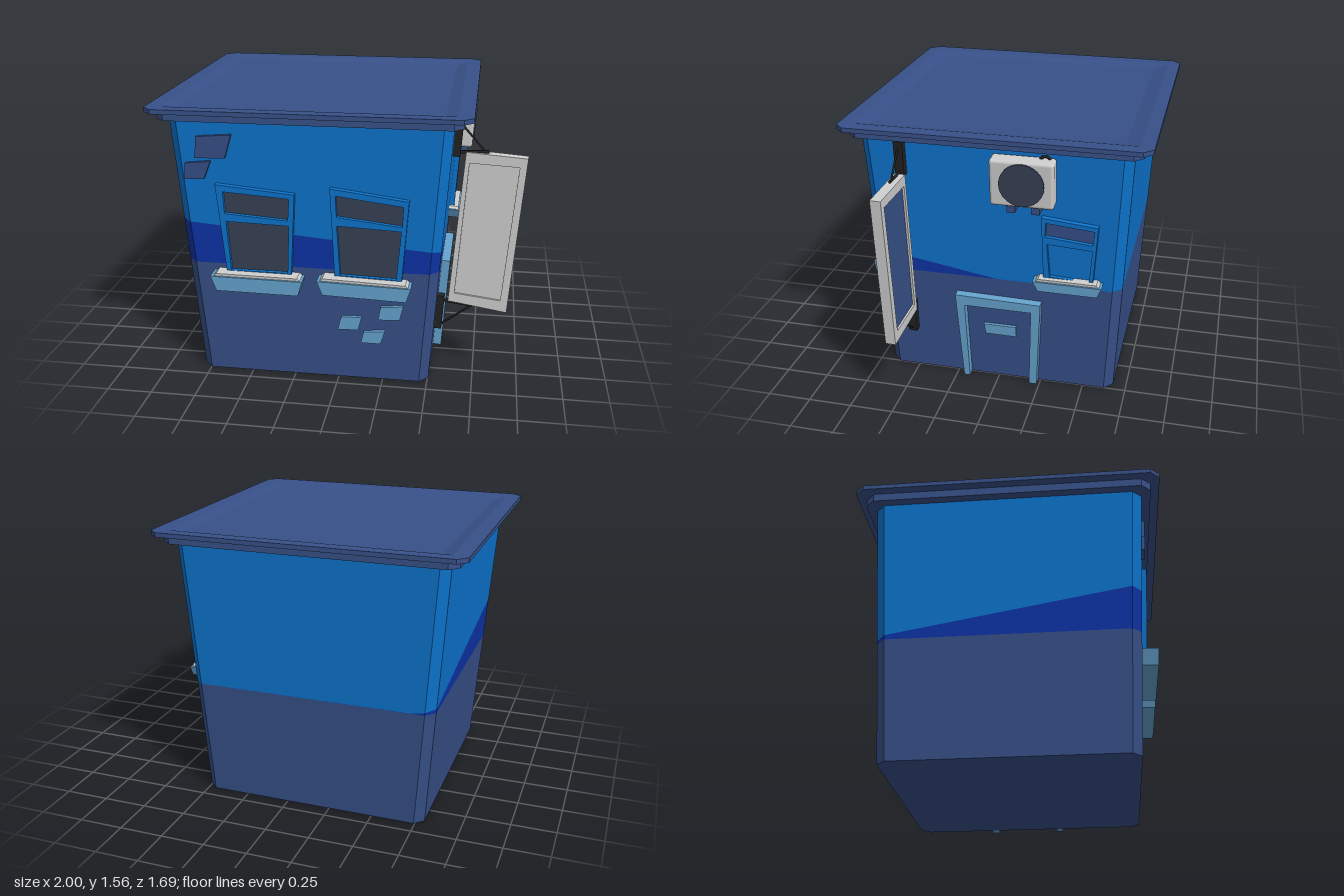
import * as THREE from 'three';
import { RoundedBoxGeometry } from 'three/addons/geometries/RoundedBoxGeometry.js';

const paint = (name, color) => {
  const m = new THREE.MeshStandardMaterial({ color });
  m.name = name;
  return m;
};

const CX = -0.145, TOP = 1.49;       // house centre in x, wall height
const LEAN_X = 0.105, LEAN_Z = 0.07; // how far the walls flare outwards

// Triangles from quads, flat shaded
function quadGeometry(quads) {
  const pos = [];
  for (const [a, b, c, d] of quads) for (const p of [a, b, c, a, c, d]) pos.push(...p);
  const g = new THREE.BufferGeometry();
  g.setAttribute('position', new THREE.Float32BufferAttribute(pos, 3));
  g.computeVertexNormals();
  return g;
}

// Rectangle with cut corners, anticlockwise from above
const ring = (hx, hz, c, y) => [
  [-hx, hz - c], [-hx + c, hz], [hx - c, hz], [hx, hz - c],
  [hx, -hz + c], [hx - c, -hz], [-hx + c, -hz], [-hx, -hz + c],
].map(([x, z]) => [CX + x, y, z]);

const fan = (r, up) => r.map((p, i) => {
  const q = r[(i + 1) % r.length], o = [CX, p[1], 0];
  return up ? [p, q, o, o] : [q, p, o, o];
});

const join = (lo, hi) => lo.map((p, i) => {
  const j = (i + 1) % lo.length;
  return [p, lo[j], hi[j], hi[i]];
});

const shapeOf = (pts) => new THREE.Shape(pts.map(([x, y]) => new THREE.Vector2(x, y)));

// Flat outline with optional holes, given thickness
function slab(pts, depth, holes = []) {
  const s = shapeOf(pts);
  for (const h of holes) s.holes.push(shapeOf(h));
  return new THREE.ExtrudeGeometry(s, { depth, bevelEnabled: false });
}

export function createModel() {
  const navy = paint('navy', 0x375088);
  const blue = paint('bright blue', 0x0d74ce);
  const royal = paint('royal blue', 0x0d33a6);
  const pale = paint('pale blue', 0x65a3cf);
  const grey = paint('light grey', 0xcecece);
  const glass = paint('dark glass', 0x374156);
  const black = paint('black', 0x222222);

  const model = new THREE.Group();
  const add = (parent, name, geo, mat, x = 0, y = 0, z = 0) => {
    const m = new THREE.Mesh(geo, mat);
    m.name = name;
    m.position.set(x, y, z);
    parent.add(m);
    return m;
  };

  // Flared walls in three bands; the middle one has a slanting top edge
  const wallRing = (heights) => {
    const at = (y, i) => {
      const t = y / TOP;
      const r = ring(0.65 + LEAN_X * t, 0.675 + LEAN_Z * t, 0.05, y);
      r.splice(7 - 1, 0, [-0.72, y, r[5][2]]); // where the band ends at the back
      r.splice(4, 0, [r[3][0], y, 0]);         // where the band ends at the right
      return r[i];
    };
    return Array.from({ length: 10 }, (_, i) => at(heights[i], i));
  };
  const level = (y) => wallRing(Array(10).fill(y));
  const slant = wallRing([0.915, 0.91, 0.80, 0.785, 0.671, 0.67, 0.67, 0.671, 0.685, 0.695]);
  const base = level(0), middle = level(0.67);
  add(model, 'lowerWalls', quadGeometry([...join(base, middle), ...fan(base, false)]), navy);
  add(model, 'wallBand', quadGeometry(join(middle, slant)), royal);
  add(model, 'upperWalls', quadGeometry(join(slant, level(TOP))), blue);

  // Stepped roof with a shallow sunken top
  const steps = [
    [0.805, 0.795, 0.05, TOP], [0.805, 0.795, 0.05, 1.535], [0.855, 0.845, 0.05, 1.535],
    [0.855, 0.845, 0.05, 1.56], [0.77, 0.77, 0.002, 1.56], [0.705, 0.69, 0.002, 1.542],
  ].map((s) => ring(...s));
  const roof = [...fan(steps[0], false), ...fan(steps[5], true)];
  for (let i = 0; i < 5; i++) roof.push(...join(steps[i], steps[i + 1]));
  add(model, 'roof', quadGeometry(roof), navy);

  // Groups lying on the leaning walls: local x along the wall, z outwards
  const front = new THREE.Group();
  front.name = 'frontWallParts';
  front.position.z = 0.675;
  front.rotation.x = Math.atan(LEAN_Z / TOP);
  const side = new THREE.Group();
  side.name = 'sideWallParts';
  side.position.x = 0.505;
  side.rotation.set(Math.atan(LEAN_X / TOP), Math.PI / 2, 0, 'YXZ');
  model.add(front, side);

  // Crooked windows with two panes
  function windowUnit(parent, name, outer, upper, lower, upperMat, lowerMat) {
    const g = new THREE.Group();
    g.name = name;
    parent.add(g);
    add(g, 'windowFrame', slab(outer, 0.03, [upper, lower]), blue);
    add(g, 'upperPane', slab(upper, 0.008), upperMat);
    add(g, 'lowerPane', slab(lower, 0.008), lowerMat);
  }
  windowUnit(front, 'windowRight',
    [[-0.61, 0.63], [-0.25, 0.63], [-0.22, 1.105], [-0.65, 1.145]],
    [[-0.605, 0.98], [-0.26, 0.955], [-0.25, 1.08], [-0.61, 1.105]],
    [[-0.585, 0.645], [-0.27, 0.645], [-0.255, 0.925], [-0.6, 0.935]], glass, glass);
  windowUnit(front, 'windowLeft',
    [[-0.01, 0.63], [0.355, 0.63], [0.39, 1.095], [-0.03, 1.15]],
    [[0.005, 0.99], [0.355, 0.95], [0.36, 1.065], [0, 1.11]],
    [[0.02, 0.65], [0.325, 0.64], [0.35, 0.925], [0.005, 0.94]], glass, glass);
  windowUnit(side, 'sideWindow',
    [[0.275, 0.72], [0.55, 0.72], [0.575, 1.08], [0.265, 1.11]],
    [[0.285, 0.995], [0.545, 0.97], [0.555, 1.055], [0.29, 1.08]],
    [[0.31, 0.745], [0.53, 0.735], [0.545, 0.935], [0.295, 0.95]], navy, blue);

  // Tapered sills with a pale top board
  function sill(parent, x0, x1, yl, yr, drop, depth) {
    const g = new THREE.Group();
    g.name = 'windowSill';
    parent.add(g);
    add(g, 'sillBlock',
      slab([[x0 + 0.03, yl - drop], [x1 - 0.025, yr - drop], [x1, yr], [x0, yl]], depth), pale);
    add(g, 'sillTop',
      slab([[x0 + 0.015, yl], [x1 - 0.015, yr], [x1 - 0.03, yr + 0.014], [x0 + 0.03, yl + 0.014]], depth - 0.01), grey);
  }
  sill(front, -0.69, -0.18, 0.63, 0.625, 0.085, 0.09);
  sill(front, -0.1, 0.41, 0.635, 0.62, 0.08, 0.09);
  sill(side, 0.22, 0.605, 0.725, 0.725, 0.058, 0.068);

  // Loose bricks
  const bricks = [
    [navy, [[-0.755, 1.285], [-0.59, 1.29], [-0.55, 1.42], [-0.74, 1.405]]],
    [navy, [[-0.82, 1.165], [-0.71, 1.17], [-0.67, 1.27], [-0.81, 1.255]]],
    [pale, [[0, 0.31], [0.115, 0.315], [0.135, 0.395], [0.02, 0.39]]],
    [pale, [[0.225, 0.385], [0.345, 0.39], [0.365, 0.475], [0.24, 0.465]]],
    [pale, [[0.13, 0.235], [0.24, 0.235], [0.265, 0.315], [0.145, 0.305]]],
  ];
  for (const [mat, pts] of bricks) add(front, 'brick', slab(pts, 0.018), mat);

  // Door surround and letter slot
  add(side, 'doorFrame', slab([[-0.205, 0], [-0.17, 0], [-0.182, 0.5], [0.205, 0.5], [0.19, 0],
    [0.235, 0], [0.26, 0.555], [-0.235, 0.565]], 0.048), pale);
  add(side, 'letterSlot', slab([[-0.07, 0.3], [0.11, 0.3], [0.11, 0.365], [-0.08, 0.365]], 0.018), pale);

  // Air conditioner
  const ac = new THREE.Group();
  ac.name = 'airConditioner';
  side.add(ac);
  add(ac, 'unitCasing', new RoundedBoxGeometry(0.345, 0.265, 0.095, 2, 0.018), grey, 0.173, 1.328, 0.05);
  add(ac, 'fanDisc', new THREE.CylinderGeometry(0.122, 0.122, 0.008, 32), glass, 0.175, 1.328, 0.1)
    .rotation.x = Math.PI / 2;
  for (const x of [0.11, 0.243]) add(ac, 'unitFoot', new THREE.BoxGeometry(0.047, 0.05, 0.075), navy, x, 1.175, 0.037);
  add(ac, 'pipe', new THREE.TorusGeometry(0.025, 0.009, 6, 12, Math.PI), black, 0.29, 1.45, 0.03);

  // Hanging sign, slightly turned
  const sign = new THREE.Group();
  sign.name = 'hangingSign';
  sign.position.set(0.8, 0, 0.475);
  sign.rotation.y = -0.05;
  model.add(sign);
  const inner = [[-0.165, 0.49], [0.09, 0.465], [0.155, 1.24], [-0.11, 1.25]];
  add(sign, 'signFrame', slab([[-0.2, 0.44], [0.127, 0.396], [0.197, 1.29], [-0.13, 1.31]], 0.06, [inner]), grey);
  add(sign, 'signFrontPanel', slab(inner, 0.008), grey, 0, 0, 0.04);
  add(sign, 'signBackPanel', slab(inner, 0.008), navy, 0, 0, 0.012);

  // Sign brackets: wall plate, arm and stay
  const bar = (name, a, b, r) => {
    const p = new THREE.Vector3(...a, 0.51), d = new THREE.Vector3(...b, 0.51).sub(p);
    const m = add(model, name, new THREE.CylinderGeometry(r, r, d.length(), 6), black);
    m.position.copy(p).addScaledVector(d, 0.5);
    m.quaternion.setFromUnitVectors(new THREE.Vector3(0, 1, 0), d.normalize());
  };
  for (const y of [1.385, 0.37]) {
    const x = 0.505 + LEAN_X * y / TOP + 0.02;
    add(model, 'bracketPlate', new THREE.BoxGeometry(0.042, 0.2, 0.05), black, x, y, 0.51)
      .rotation.z = -Math.atan(LEAN_X / TOP);
  }
  bar('upperStay', [0.62, 1.48], [0.77, 1.31], 0.006);
  bar('upperArm', [0.62, 1.305], [0.79, 1.312], 0.009);
  bar('lowerStay', [0.55, 0.28], [0.73, 0.415], 0.006);
  bar('lowerArm', [0.55, 0.44], [0.735, 0.415], 0.009);

  return model;
}
